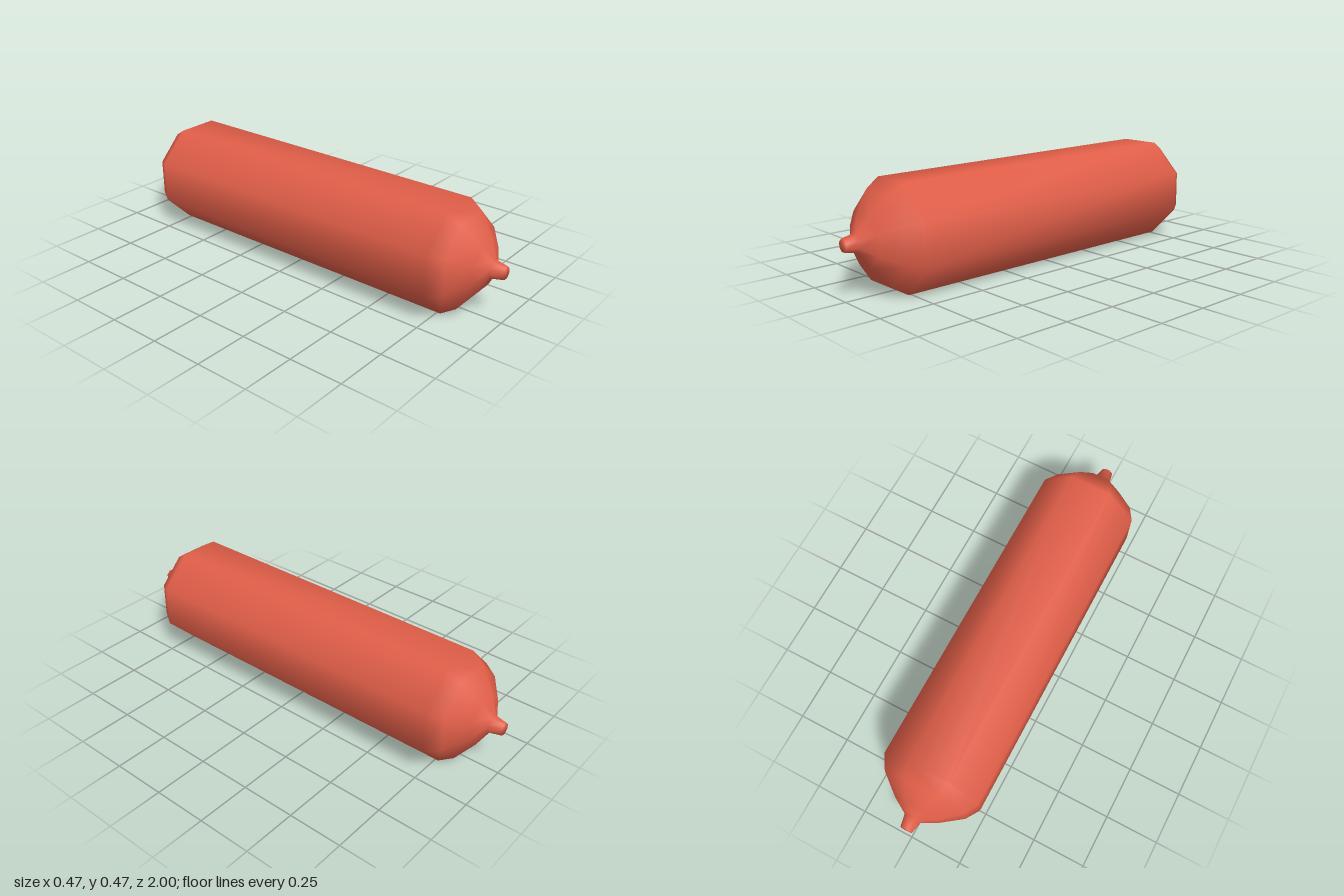
import * as THREE from 'three';
import { mergeVertices } from 'three/addons/utils/BufferGeometryUtils.js';

export function createModel() {
  const group = new THREE.Group();
  group.name = 'sausage';
  const skin = new THREE.MeshStandardMaterial({ color: 0xe05e48 });
  skin.name = 'sausage red';

  // Half profile as [radius, distance from the middle], mirrored for the other end
  const half = [[0.253, 0.765], [0.211, 0.83], [0.114, 0.903], [0.041, 0.943], [0.029, 1], [0, 1]];
  const profile = [
    ...half.map(([r, z]) => new THREE.Vector2(r, -z)).reverse(),
    ...half.map(([r, z]) => new THREE.Vector2(r, z)),
  ];

  // Eight-sided body lying along z, with flats on top and bottom
  const lathe = new THREE.LatheGeometry(profile, 8, Math.PI / 8);
  lathe.deleteAttribute('uv');
  lathe.deleteAttribute('normal');
  const body = mergeVertices(lathe, 1e-4); // weld the seam and tips for smooth shading
  body.computeVertexNormals();
  body.rotateX(Math.PI / 2);
  body.rotateZ(0.008);
  body.translate(0, 0.2355, 0);

  const mesh = new THREE.Mesh(body, skin);
  mesh.name = 'sausageBody';
  group.add(mesh);
  return group;
}
